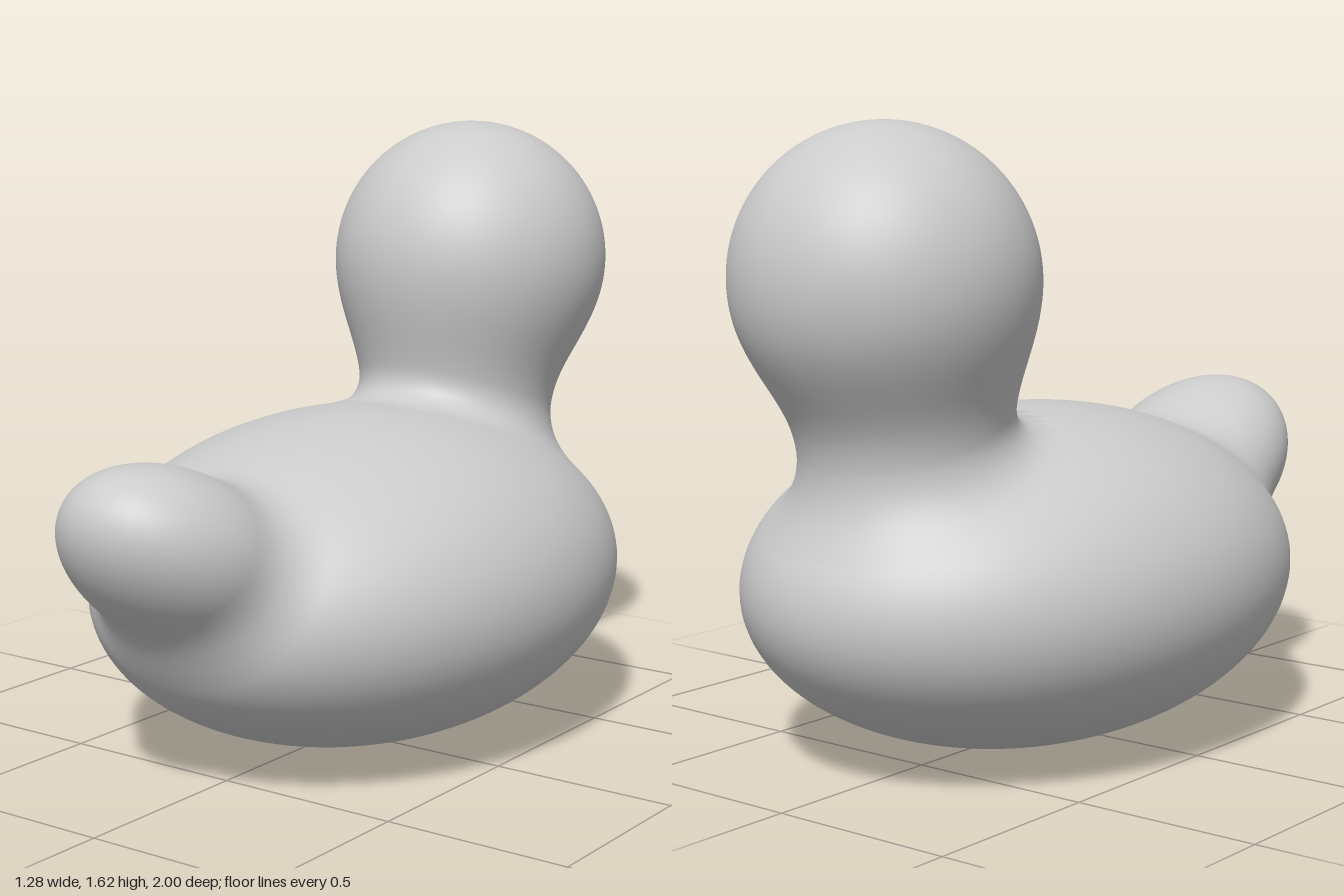
import * as THREE from 'three';

const V = (x, y, z) => new THREE.Vector3(x, y, z);
const material = new THREE.MeshStandardMaterial({ color: 0xcccccc });

// Main shapes
const body = { c: V(0, 0.44, -0.085), r: V(0.64, 0.44, 0.835), tilt: 0 };
const tail = { c: V(0, 0.614, 0.672), r: V(0.27, 0.21, 0.36), tilt: Math.PI / 6 };
const head = { c: V(0, 1.24, -0.62), r: 0.38 };
const neck = { a: V(0, 0.6, -0.53), b: V(0, 1.2, -0.575), r: 0.27 };

// Approximate distance to an ellipsoid tilted about x
function ellipsoid(p, { c, r, tilt }) {
  const q = p.clone().sub(c).applyAxisAngle(V(1, 0, 0), tilt).divide(r);
  const k = q.length();
  return k * (k - 1) / Math.max(q.divide(r).length(), 1e-6);
}

function capsule(p, { a, b, r }) {
  const ab = b.clone().sub(a), ap = p.clone().sub(a);
  const h = THREE.MathUtils.clamp(ap.dot(ab) / ab.lengthSq(), 0, 1);
  return ap.addScaledVector(ab, -h).length() - r;
}

function blend(a, b, k) {
  const h = Math.max(k - Math.abs(a - b), 0) / k;
  return Math.min(a, b) - h * h * k / 4;
}

// Distance field of the softly joined shapes
const headField = p => blend(ellipsoid(p, body),
  blend(p.distanceTo(head.c) - head.r, capsule(p, neck), 0.12), 0.1);
const tailField = p => blend(ellipsoid(p, body), ellipsoid(p, tail), 0.1);

// Skin around an axis ending in a dome: each vertex is cast outwards onto the field
function skin(name, field, start, end, axis, limit, rings, domeRings) {
  const side = V(1, 0, 0), up = side.clone().cross(axis), segments = 96;
  const pos = [], nor = [], index = [], e = 0.001;
  for (let j = 0; j <= rings + domeRings; j++) {
    const origin = start.clone().lerp(end, Math.min(j / rings, 1));
    const lift = Math.max(0, (j - rings) / domeRings) * Math.PI / 2;
    for (let i = 0; i < segments; i++) {
      const a = i / segments * Math.PI * 2;
      const dir = up.clone().multiplyScalar(Math.cos(a) * Math.cos(lift))
        .addScaledVector(side, Math.sin(a) * Math.cos(lift))
        .addScaledVector(axis, Math.sin(lift));
      const at = t => origin.clone().addScaledVector(dir, t);
      let lo = 0, hi = 0.02;
      while (hi < limit && field(at(hi)) < 0) { lo = hi; hi += 0.02; }
      hi = Math.min(hi, limit);
      for (let n = 0; n < 12; n++) {
        const mid = (lo + hi) / 2;
        if (field(at(mid)) < 0) lo = mid; else hi = mid;
      }
      const p = at(lo);
      const slope = d => field(p.clone().add(d)) - field(p.clone().sub(d));
      const n = V(slope(V(e, 0, 0)), slope(V(0, e, 0)), slope(V(0, 0, e))).normalize();
      pos.push(p.x, p.y, p.z);
      nor.push(n.x, n.y, n.z);
      if (j > 0) {
        const next = (i + 1) % segments, r0 = (j - 1) * segments, r1 = j * segments;
        index.push(r0 + i, r0 + next, r1 + i, r0 + next, r1 + next, r1 + i);
      }
    }
  }
  const g = new THREE.BufferGeometry();
  g.setAttribute('position', new THREE.Float32BufferAttribute(pos, 3));
  g.setAttribute('normal', new THREE.Float32BufferAttribute(nor, 3));
  g.setIndex(index);
  const mesh = new THREE.Mesh(g, material);
  mesh.name = name;
  return mesh;
}

export function createModel() {
  const model = new THREE.Group();
  model.name = 'bathDuck';

  // Egg-shaped body
  const g = new THREE.SphereGeometry(1, 96, 64);
  g.scale(body.r.x, body.r.y, body.r.z);
  const bodyMesh = new THREE.Mesh(g, material);
  bodyMesh.position.copy(body.c);
  bodyMesh.name = 'body';
  model.add(bodyMesh);

  // Round head on a neck that flares into the body
  model.add(skin('headAndNeck', headField, V(0, 0.58, -0.54), head.c, V(0, 1, 0), 0.44, 90, 36));

  // Upturned rounded end
  const axis = V(0, Math.sin(tail.tilt), Math.cos(tail.tilt));
  const root = tail.c.clone().addScaledVector(axis, -0.34);
  model.add(skin('tail', tailField, root, tail.c, axis, 0.4, 60, 32));
  return model;
}
